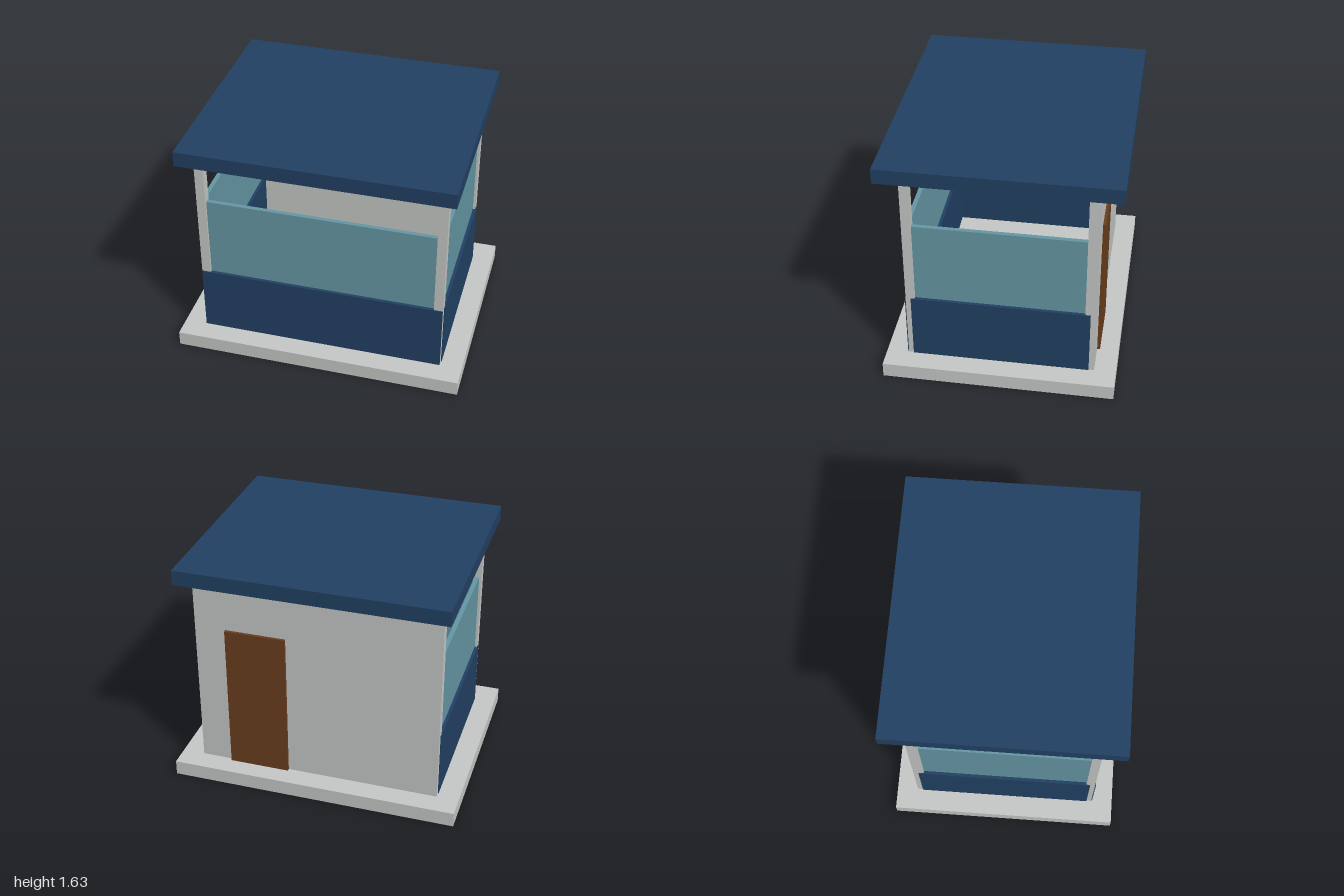
import * as THREE from 'three';

const material = (name, color) => {
  const m = new THREE.MeshStandardMaterial({ color });
  m.name = name;
  return m;
};

export function createModel() {
  const grey = material('pale grey', 0xc6cac7);
  const navy = material('navy blue', 0x224164);
  const teal = material('teal glass', 0x6698a6);
  const brown = material('door brown', 0x6b3f1d);

  const model = new THREE.Group();
  model.name = 'kiosk';

  // Box given by its extents along each axis
  const box = (name, mat, [x0, x1], [y0, y1], [z0, z1]) => {
    const mesh = new THREE.Mesh(new THREE.BoxGeometry(x1 - x0, y1 - y0, z1 - z0), mat);
    mesh.position.set((x0 + x1) / 2, (y0 + y1) / 2, (z0 + z1) / 2);
    mesh.name = name;
    model.add(mesh);
  };
  const span = (centre, size) => [centre - size / 2, centre + size / 2];

  const floor = 0.105, sill = 0.58, glassTop = 1.16, eaves = 1.53;
  const postX = 0.816, postZ = 0.608;

  // Floor slab and flat roof
  box('floorSlab', grey, [-1, 1], [0, floor], [-0.79, 0.79]);
  box('roof', navy, [-0.918, 0.918], [eaves, 1.635], [-0.79, 0.79]);

  // Corner posts, with low panels and glazing on both sides
  for (const side of [-1, 1]) {
    const label = side > 0 ? 'left' : 'right';
    for (const end of [-1, 1]) {
      box(label + (end > 0 ? 'FrontPost' : 'BackPost'), grey,
        span(side * postX, 0.063), [floor, eaves], span(end * postZ, 0.062));
    }
    box(label + 'Panel', navy, span(side * postX, 0.074), [floor, sill], [-0.604, 0.604]);
    box(label + 'Glass', teal, span(side * postX, 0.03), [sill, glassTop], [-0.575, 0.58]);
  }

  // Front counter panel and glazing
  box('frontPanel', navy, [-0.846, 0.846], [floor, sill], span(postZ, 0.074));
  box('frontGlass', teal, [-0.786, 0.786], [sill, glassTop], span(postZ, 0.03));

  // Back wall and door
  box('backWall', grey, [-0.846, 0.846], [floor, 1.475], span(-postZ + 0.003, 0.074));
  box('door', brown, [0.21, 0.63], [floor, glassTop], [-0.662, -0.642]);

  return model;
}
